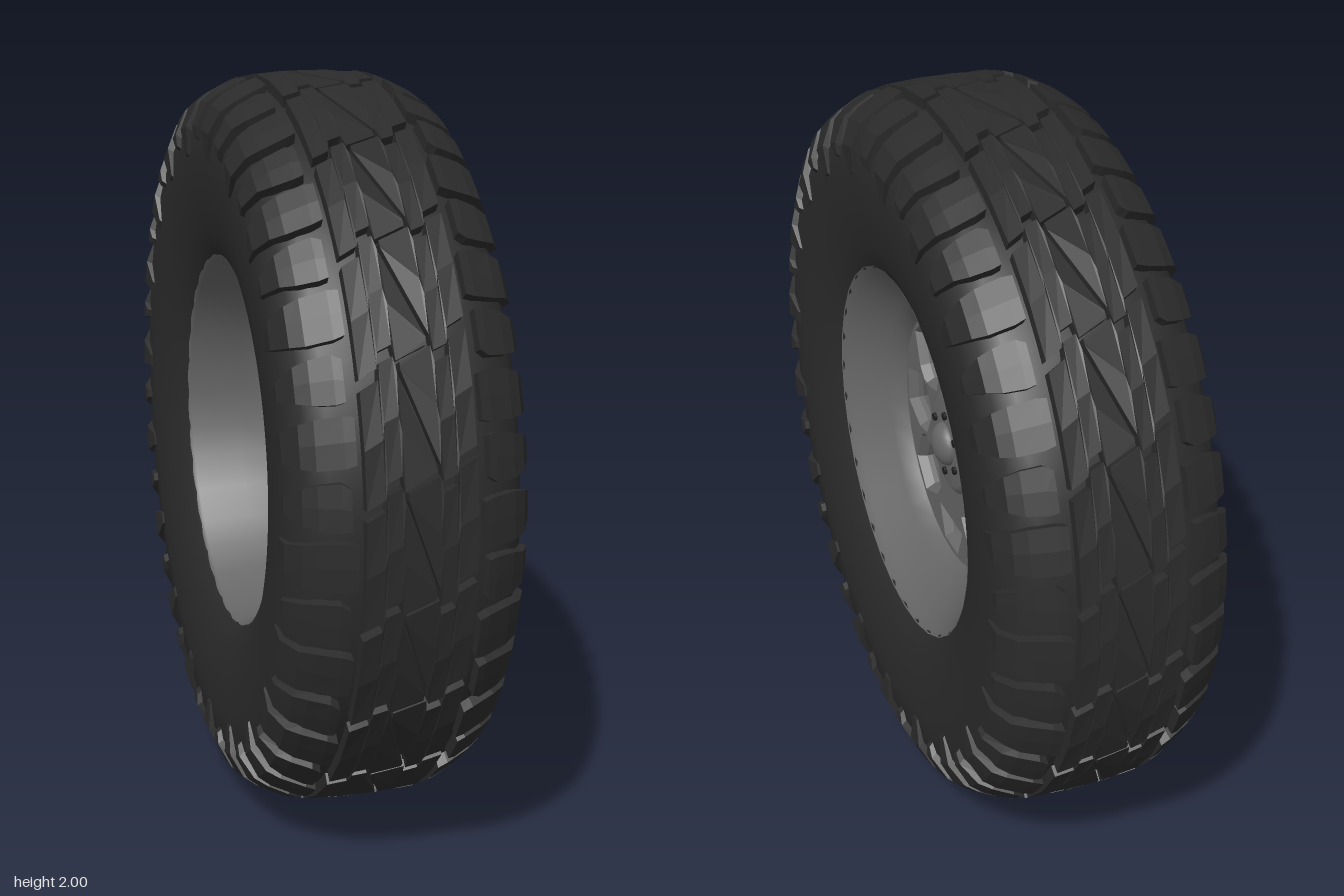
import * as THREE from 'three';
import { mergeGeometries } from 'three/addons/utils/BufferGeometryUtils.js';

const paint = (name, color) => {
  const m = new THREE.MeshStandardMaterial({ color, side: THREE.DoubleSide });
  m.name = name;
  return m;
};

// Half profiles from crown to sidewall as [x, radius]: groove floor and lug tops
const FLOOR = [[0, 0.968], [0.15, 0.962], [0.215, 0.938], [0.265, 0.905], [0.295, 0.85], [0.3, 0.77]];
const TOPS = [[0, 1.0], [0.15, 0.993], [0.225, 0.967], [0.28, 0.925], [0.31, 0.862], [0.304, 0.775]];

// Point on the tyre: u runs across the profile, a is the angle around the axle
function tyrePoint(u, a, list) {
  const t = Math.min(Math.abs(u), 4.999), i = Math.floor(t), f = t - i;
  const x = THREE.MathUtils.lerp(list[i][0], list[i + 1][0], f) * Math.sign(u);
  const r = THREE.MathUtils.lerp(list[i][1], list[i + 1][1], f);
  return new THREE.Vector3(x, r * Math.sin(a), r * Math.cos(a));
}

// Raised lug from rows of [u, startAngle, endAngle]; turn = -1 gives the opposite half
function lug(rows, angle, turn) {
  const rings = rows.map(([u, a0, a1]) => [
    [a0, FLOOR], [a0, TOPS], [(a0 + a1) / 2, TOPS], [a1, TOPS], [a1, FLOOR],
  ].map(([a, list]) => tyrePoint(u * turn, angle + a * turn, list)));
  const pts = [];
  for (let i = 0; i < rings.length - 1; i++) {
    const p = rings[i], q = rings[i + 1];
    for (let j = 0; j < 4; j++) pts.push(p[j], q[j], q[j + 1], p[j], q[j + 1], p[j + 1]);
  }
  const s = rings[0], e = rings[rings.length - 1];
  for (let j = 1; j < 4; j++) pts.push(s[0], s[j], s[j + 1], e[0], e[j + 1], e[j]);
  const g = new THREE.BufferGeometry().setFromPoints(pts);
  g.computeVertexNormals();
  return g;
}

// Lathe turned so that its axis is x; profile given as [x, radius]
function latheX(profile, segments) {
  const g = new THREE.LatheGeometry(profile.map(([x, r]) => new THREE.Vector2(r, x)), segments);
  return g.rotateZ(-Math.PI / 2);
}

export function createModel() {
  const wheel = new THREE.Group();
  wheel.name = 'offRoadWheel';
  const rubber = paint('blackRubber', 0x2b2b2b);
  const metal = paint('greyMetal', 0x666666);
  const dark = paint('darkBolt', 0x1c1c1c);
  const add = (name, geometry, material) => {
    const mesh = new THREE.Mesh(geometry, material);
    mesh.name = name;
    wheel.add(mesh);
    return mesh;
  };

  // Tyre carcass
  const half = [...FLOOR, [0.295, 0.68], [0.278, 0.58], [0.252, 0.515], [0.235, 0.5]];
  const left = half.slice(1).reverse().map(([x, r]) => [-x, r]);
  add('tyreCarcass', latheX([...left, ...half], 80), rubber);

  // Centre tread: slanted, notched rows split by a steep diagonal groove
  const PITCHES = 20, P = Math.PI * 2 / PITCHES, gap = 0.014;
  const low = -P / 2 + gap, high = P / 2 - gap;
  const centre = [
    [-0.93, low - 0.07, high - 0.07],
    [-0.62, low - 0.045, high - 0.045],
    [-0.58, low - 0.005, high - 0.005],
    [-0.34, low + 0.01, high + 0.01],
    [-0.3, low - 0.03, high - 0.03],
    [0.24, low + 0.005, low + 0.025],
  ];
  // Shoulder lugs: alternating long and short, wrapping onto the sidewall
  const longLug = [[1.1, -0.066, 0.05], [1.45, -0.07, 0.058], [2.4, -0.066, 0.062],
    [3, -0.058, 0.056], [4, -0.045, 0.04], [4.85, -0.03, 0.012]];
  const shortLug = [[1.3, -0.05, 0.055], [1.6, -0.064, 0.06], [2.4, -0.06, 0.056],
    [3, -0.05, 0.045], [4, -0.025, 0.03], [4.35, -0.008, 0.02]];
  const centreLugs = [], shoulderLugs = [];
  for (let i = 0; i < PITCHES; i++) {
    for (const turn of [1, -1]) {
      centreLugs.push(lug(centre, i * P, turn));
      shoulderLugs.push(lug(longLug, i * P + turn * 0.05, turn));
      shoulderLugs.push(lug(shortLug, i * P + turn * (0.05 + P / 2), turn));
    }
  }
  add('centreTread', mergeGeometries(centreLugs), rubber);
  add('shoulderTread', mergeGeometries(shoulderLugs), rubber);

  // Rim: deep barrel behind the disc, flared dish in front
  add('rimBarrel', latheX([[-0.252, 0.52], [-0.24, 0.5], [-0.1, 0.478], [0.03, 0.45], [0.075, 0.365]], 32), metal);
  add('rimDish', latheX([[0.075, 0.365], [0.115, 0.36], [0.15, 0.41], [0.235, 0.495], [0.255, 0.52]], 32), metal);

  // Spoke disc with eight windows, each pointed towards the hub
  const disc = new THREE.Shape().absarc(0, 0, 0.385, 0, Math.PI * 2);
  const windowShape = [[0.165, 0], [0.205, 0.07], [0.25, 0.075], [0.33, 0.042],
    [0.33, -0.042], [0.25, -0.075], [0.205, -0.07]];
  for (let i = 0; i < 8; i++) {
    const a = i * Math.PI / 4, c = Math.cos(a), s = Math.sin(a);
    disc.holes.push(new THREE.Path(windowShape.map(([r, w]) =>
      new THREE.Vector2(r * c - w * s, r * s + w * c))));
  }
  const discGeometry = new THREE.ExtrudeGeometry(disc, {
    depth: 0.015, bevelThickness: 0.025, bevelSize: 0.014, bevelOffset: -0.014,
    bevelSegments: 1, curveSegments: 32,
  });
  add('spokeDisc', discGeometry.rotateY(Math.PI / 2), metal).position.x = 0.07;

  // Hub plate, domed cap and bolts
  add('hubPlate', latheX([[0.04, 0], [0.04, 0.14], [0.108, 0.15], [0.122, 0.125], [0.126, 0]], 24), metal);
  const cap = add('hubCap', new THREE.SphereGeometry(0.062, 20, 12), metal);
  cap.scale.x = 0.6;
  cap.position.x = 0.124;
  for (let i = 0; i < 6; i++) {
    const a = i * Math.PI / 3;
    const bolt = add('bolt', new THREE.CylinderGeometry(0.011, 0.011, 0.012, 6).rotateZ(-Math.PI / 2), dark);
    bolt.position.set(0.126, 1 + 0.088 * Math.cos(a), 0.088 * Math.sin(a));
  }

  // Raise the axle to one radius above the ground
  for (const part of wheel.children) if (part.name !== 'bolt') part.position.y = 1;
  return wheel;
}
